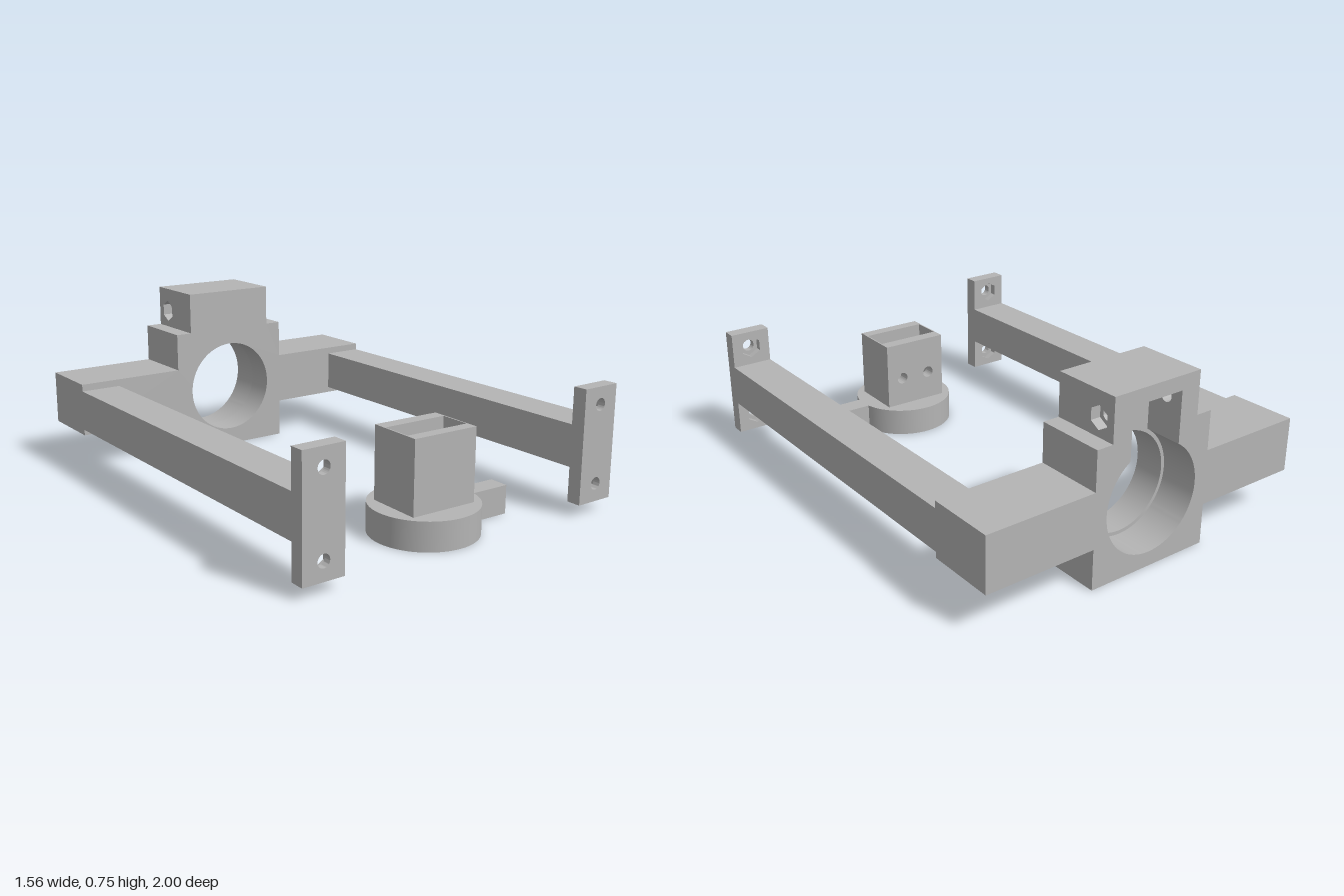
import * as THREE from 'three';
import { toCreasedNormals } from 'three/addons/utils/BufferGeometryUtils.js';

const grey = new THREE.MeshStandardMaterial({ color: 0xb4b4b4 });
grey.name = 'plain grey';

function add(parent, name, geometry) {
  const mesh = new THREE.Mesh(geometry, grey);
  mesh.name = name;
  parent.add(mesh);
  return mesh;
}

// Box given by its lower and upper limits
function box(parent, name, x0, x1, y0, y1, z0, z1) {
  const mesh = add(parent, name, new THREE.BoxGeometry(x1 - x0, y1 - y0, z1 - z0));
  mesh.position.set((x0 + x1) / 2, (y0 + y1) / 2, (z0 + z1) / 2);
  return mesh;
}

// Shape in x and y, extruded from z0 to z1
function slab(parent, name, shape, z0, z1) {
  const geometry = new THREE.ExtrudeGeometry(shape, { depth: z1 - z0, bevelEnabled: false, curveSegments: 48 });
  geometry.translate(0, 0, z0);
  return add(parent, name, toCreasedNormals(geometry, 0.5));
}

function rectangle(x0, x1, y0, y1) {
  return new THREE.Shape([[x0, y0], [x1, y0], [x1, y1], [x0, y1]].map(p => new THREE.Vector2(...p)));
}

function roundHole(x, y, r) {
  return new THREE.Path().absarc(x, y, r, 0, Math.PI * 2, true);
}

// Hexagonal nut recess with a corner at the top
function hexHole(x, y, r = 0.048) {
  const points = [];
  for (let i = 0; i < 6; i++) {
    const a = Math.PI / 2 - i * Math.PI / 3;
    points.push(new THREE.Vector2(x + r * Math.cos(a), y + r * Math.sin(a)));
  }
  return new THREE.Path(points);
}

const BACK = -0.982, MID = -0.82, FRONT = -0.69; // depth layers of the crossbeam
const BEAM = 0.757, TIER = 0.28, TOWER = 0.208, SLOT = 0.12;
const BORE_Y = 0.285, BOLT = 0.026;

// Lower part of the stepped outline, from the left tier top round to the right tier top
function lowerOutline() {
  const s = new THREE.Shape();
  s.moveTo(-TIER, 0.565);
  for (const [x, y] of [[-TIER, 0.4], [-BEAM, 0.4], [-BEAM, 0.17], [-TIER, 0.17], [-TIER, 0],
    [TIER, 0], [TIER, 0.17], [BEAM, 0.17], [BEAM, 0.4], [TIER, 0.4], [TIER, 0.565]]) s.lineTo(x, y);
  return s;
}

function buildCrossbeam() {
  const group = new THREE.Group();
  group.name = 'crossbeam';

  // Front layer with the narrow bore
  const front = lowerOutline();
  front.lineTo(TOWER, 0.565);
  front.lineTo(TOWER, 0.745);
  front.lineTo(-TOWER, 0.745);
  front.lineTo(-TOWER, 0.565);
  front.closePath();
  front.holes.push(roundHole(0, BORE_Y, 0.208));
  slab(group, 'beamFront', front, MID, FRONT);

  // Back layer with the wider bore, open upwards into the slot
  const R = 0.223, a = Math.acos(SLOT / R);
  const back = lowerOutline();
  back.lineTo(SLOT, 0.565);
  back.lineTo(SLOT, BORE_Y + R * Math.sin(a));
  back.absarc(0, BORE_Y, R, a, Math.PI - a, true);
  back.lineTo(-SLOT, 0.565);
  back.closePath();
  slab(group, 'beamBack', back, BACK, MID);

  // Tower walls: bolt hole inside, nut recess outside
  const split = 0.165;
  for (const side of [-1, 1]) {
    for (const [name, hole, x0, x1] of [
      ['towerWallInner', roundHole(0.905, 0.64, BOLT), SLOT, split],
      ['towerWallOuter', hexHole(0.905, 0.64), split, TOWER],
    ]) {
      const wall = rectangle(-MID, -BACK, 0.565, 0.745);
      wall.holes.push(hole);
      const mesh = slab(group, name, wall, side > 0 ? x0 : -x1, side > 0 ? x1 : -x0);
      mesh.rotation.y = Math.PI / 2;
    }
  }
  box(group, 'towerRoof', -SLOT, SLOT, 0.685, 0.745, BACK, MID);
  return group;
}

// Arm with its bolted end plate, centred on x = 0
function buildArm(name) {
  const group = new THREE.Group();
  group.name = name;
  const w = 0.088;
  box(group, 'armBar', -w, w, 0.195, 0.37, FRONT, 0.917);
  for (const [part, makeHole, z0, z1] of [
    ['endPlateFront', (y) => roundHole(0, y, BOLT), 0.947, 0.978],
    ['endPlateBack', (y) => hexHole(0, y), 0.917, 0.947],
  ]) {
    const plate = rectangle(-w, w, 0.05, 0.523);
    plate.holes.push(makeHole(0.125), makeHole(0.45));
    slab(group, part, plate, z0, z1);
  }
  return group;
}

function buildHolder() {
  const group = new THREE.Group();
  group.name = 'holder';
  const disc = add(group, 'disc', new THREE.CylinderGeometry(0.221, 0.221, 0.12, 64));
  disc.position.y = 0.06;
  box(group, 'handle', 0.2, 0.39, 0, 0.12, -0.043, 0.043);

  // Open box: thick front and back, thin sides
  const w = 0.148, y0 = 0.12, y1 = 0.42;
  box(group, 'boxFront', -w, w, y0, y1, 0.068, 0.118);
  for (const side of [-1, 1]) {
    box(group, 'boxSide', side * w - (side > 0 ? 0.006 : 0), side * w + (side > 0 ? 0 : 0.006), y0, y1, -0.062, 0.068);
  }
  const back = rectangle(-w, w, y0, y1);
  back.holes.push(roundHole(-0.07, 0.25, BOLT), roundHole(0.07, 0.25, BOLT));
  slab(group, 'boxBack', back, -0.118, -0.062);
  return group;
}

export function createModel() {
  const model = new THREE.Group();
  model.name = 'mountingFrame';

  // Frame, turned slightly about the vertical
  const frame = new THREE.Group();
  frame.name = 'frame';
  frame.rotation.y = 0.024;
  frame.position.x = -0.003;
  frame.add(buildCrossbeam());
  for (const side of [-1, 1]) {
    const arm = buildArm(side > 0 ? 'leftArm' : 'rightArm');
    arm.position.x = side * (BEAM - 0.088);
    frame.add(arm);
  }
  model.add(frame);

  // Loose holder between the arms
  const holder = buildHolder();
  holder.position.set(0.005, 0, 0.722);
  model.add(holder);
  return model;
}
